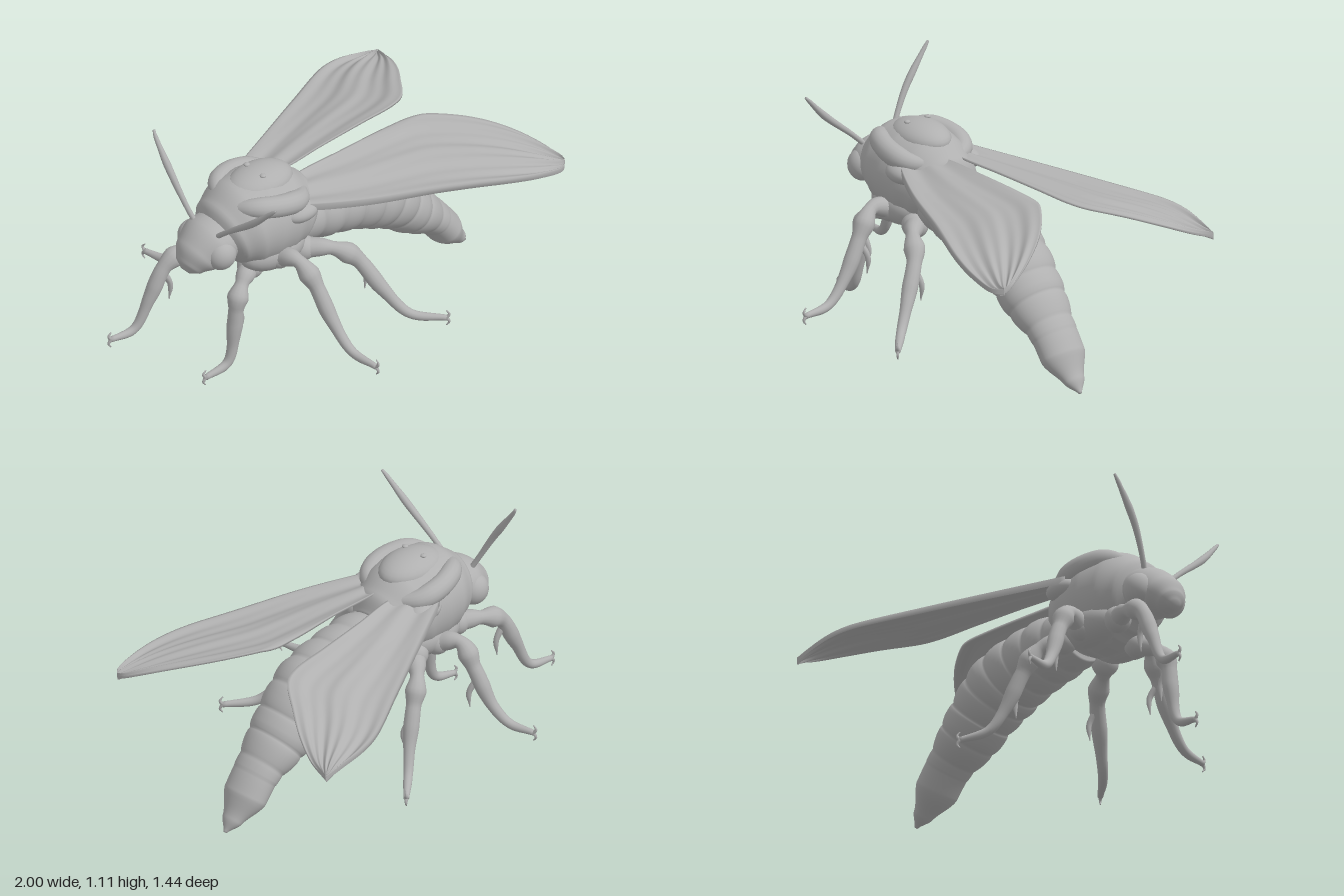
import * as THREE from 'three';

const V = (p) => new THREE.Vector3(p[0], p[1], p[2]);
const grey = new THREE.MeshStandardMaterial({ color: 0xb0b0b0 });
grey.name = 'warmGrey';

// skin a list of closed rings, sealing both ends at their centres
function loft(rings) {
  const k = rings[0].length;
  const seal = (r) => {
    const c = r.reduce((s, p) => s.add(p), new THREE.Vector3()).divideScalar(k);
    return r.map(() => c);
  };
  const all = [seal(rings[0]), ...rings, seal(rings[rings.length - 1])];
  const pos = [], idx = [];
  all.forEach((r) => r.forEach((p) => pos.push(p.x, p.y, p.z)));
  for (let i = 0; i < all.length - 1; i++) {
    for (let j = 0; j < k; j++) {
      const a = i * k + j, a2 = i * k + (j + 1) % k;
      idx.push(a, a2, a + k, a2, a2 + k, a + k);
    }
  }
  const g = new THREE.BufferGeometry();
  g.setAttribute('position', new THREE.Float32BufferAttribute(pos, 3));
  g.setIndex(idx);
  g.computeVertexNormals();
  return g;
}

// read [t, across, upright] keys with a smooth blend
function radii(keys, t) {
  let i = 0;
  while (i < keys.length - 2 && t > keys[i + 1][0]) i++;
  const [a, b] = [keys[i], keys[i + 1]];
  const f = THREE.MathUtils.clamp((t - a[0]) / (b[0] - a[0]), 0, 1);
  const s = f * 0.5 + f * f * (3 - 2 * f) * 0.5;
  const mix = (n) => THREE.MathUtils.lerp(a[n] ?? a[1], b[n] ?? b[1], s);
  return [mix(1), mix(2)];
}

// tube of changing oval section along a path
function sweep(points, keys, n = 40, sides = 16, wave = () => 1) {
  const curve = new THREE.CatmullRomCurve3(points.map(V));
  const fr = curve.computeFrenetFrames(n, false);
  const rings = [];
  for (let i = 0; i <= n; i++) {
    const t = i / n, c = curve.getPointAt(t), [rn, rb] = radii(keys, t), w = wave(t);
    rings.push(Array.from({ length: sides }, (_, j) => {
      const a = (j / sides) * Math.PI * 2;
      return c.clone().addScaledVector(fr.normals[i], Math.cos(a) * rn * w)
        .addScaledVector(fr.binormals[i], Math.sin(a) * rb * w);
    }));
  }
  return loft(rings);
}

function add(parent, name, geo) {
  const m = new THREE.Mesh(geo, grey);
  m.name = name;
  parent.add(m);
  return m;
}

function ellipsoid(parent, name, c, r) {
  const m = add(parent, name, new THREE.SphereGeometry(1, 24, 16));
  m.position.set(...c);
  m.scale.set(...r);
  return m;
}

// wing skin between a leading and a trailing edge, given as [x, z]
function wing(parent, name, lead, trail, side) {
  const edge = (e) => new THREE.CatmullRomCurve3(e.map(([x, z]) => new THREE.Vector3(x, 0, z)), false, 'centripetal');
  const A = edge(lead), B = edge(trail), n = 60, m = 40, rings = [];
  for (let i = 0; i <= n; i++) {
    const u = i / n, a = A.getPointAt(u), b = B.getPointAt(u);
    const top = [], bottom = [];
    for (let j = 0; j <= m; j++) {
      const v = j / m, p = a.clone().lerp(b, v);
      const z = Math.abs(p.z), droop = Math.max(0, p.x - 0.5);
      p.y = 0.805 - 0.2 * z - 0.56 * z * droop * droop
        + 0.007 * Math.sin(v * 38) * u * u + 0.006 * Math.sin(v * 13 + u * 3);
      // thick leading rib thinning toward the rear
      const h = 0.005 + 0.012 * Math.exp(-v * 9) * (1 - 0.6 * u);
      top.push(p.clone().setY(p.y + h));
      bottom.push(p.clone().setY(p.y - h));
    }
    const ring = [...top, ...bottom.reverse()];
    rings.push(side > 0 ? ring.reverse() : ring);
  }
  add(parent, name, loft(rings));
}

function leg(parent, name, pts) {
  const g = new THREE.Group();
  g.name = name;
  parent.add(g);
  add(g, 'legLimb', sweep(pts, [[0, 0.05], [0.1, 0.042], [0.17, 0.03], [0.27, 0.048], [0.36, 0.034],
    [0.5, 0.036], [0.68, 0.025], [0.85, 0.02], [1, 0.013]], 48, 14));
  ellipsoid(g, 'hip', pts[0], [0.06, 0.06, 0.06]);
  // spur on the inner side of the shin
  const s = V(pts[2]).lerp(V(pts[3]), 0.25);
  add(g, 'spur', sweep([[s.x, s.y, s.z], [s.x + 0.035, s.y - 0.07, s.z * 0.93], [s.x + 0.03, s.y - 0.15, s.z * 0.93]],
    [[0, 0.017], [0.6, 0.012], [1, 0.002]], 12, 8));
  // paired hooked claws
  const [x, y, z] = pts[pts.length - 1];
  const out = V(pts[pts.length - 1]).sub(V(pts[pts.length - 2])).setY(0).normalize().multiplyScalar(0.012);
  for (const d of [-1, 1]) {
    add(g, 'claw', sweep([[x, y, z], [x + out.x, y + d * 0.02, z + out.z], [x, y + d * 0.038, z]],
      [[0, 0.009], [1, 0.003]], 8, 6));
  }
}

export function createModel() {
  const model = new THREE.Group();
  model.name = 'moth';
  const body = new THREE.Group();
  body.name = 'body';
  body.rotation.y = 0.05;
  model.add(body);

  // abdomen with eight overlapping bands and a plain pointed tail
  const band = (t) => (t > 0.77 ? 1 : 0.93 + 0.09 * Math.pow(Math.sin(Math.PI * ((t / 0.77 * 8.5) % 1)), 0.45));
  add(body, 'abdomen', sweep(
    [[-0.18, 0.6, 0], [-0.02, 0.59, 0], [0.15, 0.56, 0], [0.285, 0.515, 0], [0.4, 0.44, 0],
      [0.5, 0.35, 0], [0.64, 0.23, 0], [0.73, 0.12, 0], [0.835, 0.012, 0]],
    [[0, 0.14, 0.12], [0.15, 0.165, 0.14], [0.4, 0.175, 0.152], [0.6, 0.15, 0.122], [0.77, 0.11, 0.08],
      [0.85, 0.108, 0.078], [0.95, 0.05, 0.036], [1, 0.008, 0.008]], 180, 40, band));

  // thorax, head and eyes
  add(body, 'thorax', sweep(
    [[-0.57, 0.66, 0], [-0.52, 0.675, 0], [-0.44, 0.69, 0], [-0.35, 0.69, 0], [-0.25, 0.675, 0], [-0.17, 0.65, 0], [-0.1, 0.62, 0]],
    [[0, 0.11, 0.1], [0.09, 0.17, 0.16], [0.26, 0.205, 0.205], [0.46, 0.215, 0.22], [0.67, 0.205, 0.212],
      [0.85, 0.18, 0.175], [1, 0.13, 0.11]], 50, 40));
  add(body, 'head', sweep([[-0.5, 0.68, 0], [-0.6, 0.665, 0], [-0.68, 0.62, 0], [-0.738, 0.565, 0]],
    [[0, 0.13, 0.1], [0.4, 0.14, 0.112], [0.7, 0.11, 0.092], [0.9, 0.07, 0.058], [1, 0.025, 0.02]], 36, 32));
  ellipsoid(body, 'backPlate', [-0.32, 0.855, 0], [0.165, 0.072, 0.115]);
  for (const s of [-1, 1]) {
    ellipsoid(body, 'eye', [-0.615, 0.65, s * 0.095], [0.07, 0.072, 0.065]);
    // padded shoulder lobe curling around the back plate
    add(body, 'shoulderLobe', sweep(
      [[-0.51, 0.82, s * 0.04], [-0.45, 0.835, s * 0.125], [-0.33, 0.82, s * 0.17], [-0.22, 0.795, s * 0.15], [-0.15, 0.78, s * 0.06]],
      [[0, 0.03], [0.3, 0.048], [0.65, 0.05], [1, 0.03]], 30, 16));
    ellipsoid(body, 'wingJoint', [-0.23, 0.745, s * 0.17], [0.09, 0.045, 0.06]);
    ellipsoid(body, 'chestPad', [-0.33, 0.56, s * 0.1], [0.17, 0.09, 0.1]);
    ellipsoid(body, 'backBump', [-0.345, 0.922, s * 0.055], [0.014, 0.008, 0.014]);
  }

  // antennae
  const feeler = [[0, 0.012], [0.2, 0.012], [0.65, 0.017], [0.92, 0.01], [1, 0.006]];
  add(model, 'leftAntenna', sweep([[-0.62, 0.72, 0.09], [-0.61, 0.8, 0.18], [-0.59, 0.925, 0.335], [-0.565, 1.03, 0.44], [-0.56, 1.045, 0.455]], feeler, 30, 10));
  add(model, 'rightAntenna', sweep([[-0.62, 0.72, -0.03], [-0.64, 0.78, -0.06], [-0.67, 0.93, -0.14], [-0.682, 1.1, -0.255], [-0.68, 1.118, -0.265]], feeler, 30, 10));

  // wings
  wing(model, 'leftWing',
    [[-0.27, 0.17], [-0.1, 0.25], [0.08, 0.32], [0.35, 0.4], [0.67, 0.5], [0.83, 0.52], [0.96, 0.505], [0.995, 0.47]],
    [[-0.2, 0.05], [-0.13, 0.02], [0.15, 0], [0.4, -0.02], [0.54, -0.015], [0.7, 0.07], [0.83, 0.18], [0.94, 0.32], [0.998, 0.44], [0.997, 0.465]], 1);
  wing(model, 'rightWing',
    [[-0.29, -0.2], [0, -0.37], [0.27, -0.53], [0.54, -0.685], [0.65, -0.715], [0.78, -0.72], [0.862, -0.718]],
    [[-0.2, -0.08], [-0.13, -0.06], [0.1, -0.1], [0.35, -0.14], [0.54, -0.17], [0.62, -0.21], [0.72, -0.35], [0.8, -0.48], [0.855, -0.615], [0.865, -0.71]], -1);

  // six legs in a walking pose
  leg(model, 'rightFrontLeg', [[-0.5, 0.54, -0.08], [-0.6, 0.535, -0.12], [-0.71, 0.49, -0.135], [-0.79, 0.345, -0.145], [-0.87, 0.2, -0.155], [-0.985, 0.185, -0.168]]);
  leg(model, 'leftFrontLeg', [[-0.43, 0.5, 0.1], [-0.5, 0.47, 0.14], [-0.55, 0.4, 0.165], [-0.57, 0.26, 0.17], [-0.61, 0.1, 0.175], [-0.725, 0.065, 0.17]]);
  leg(model, 'rightMiddleLeg', [[-0.33, 0.54, -0.14], [-0.37, 0.565, -0.25], [-0.385, 0.46, -0.32], [-0.42, 0.29, -0.4], [-0.455, 0.215, -0.47], [-0.49, 0.205, -0.585]]);
  leg(model, 'leftMiddleLeg', [[-0.33, 0.55, 0.17], [-0.31, 0.575, 0.28], [-0.28, 0.5, 0.35], [-0.25, 0.33, 0.45], [-0.225, 0.215, 0.56], [-0.197, 0.2, 0.7]]);
  leg(model, 'leftHindLeg', [[-0.18, 0.51, 0.14], [-0.08, 0.51, 0.22], [0.01, 0.45, 0.27], [0.09, 0.3, 0.36], [0.17, 0.185, 0.45], [0.295, 0.165, 0.55]]);
  leg(model, 'rightHindLeg', [[-0.21, 0.52, -0.13], [-0.14, 0.47, -0.22], [-0.08, 0.36, -0.26], [-0.02, 0.21, -0.3], [0.035, 0.105, -0.35], [0.125, 0.065, -0.435]]);

  return model;
}
